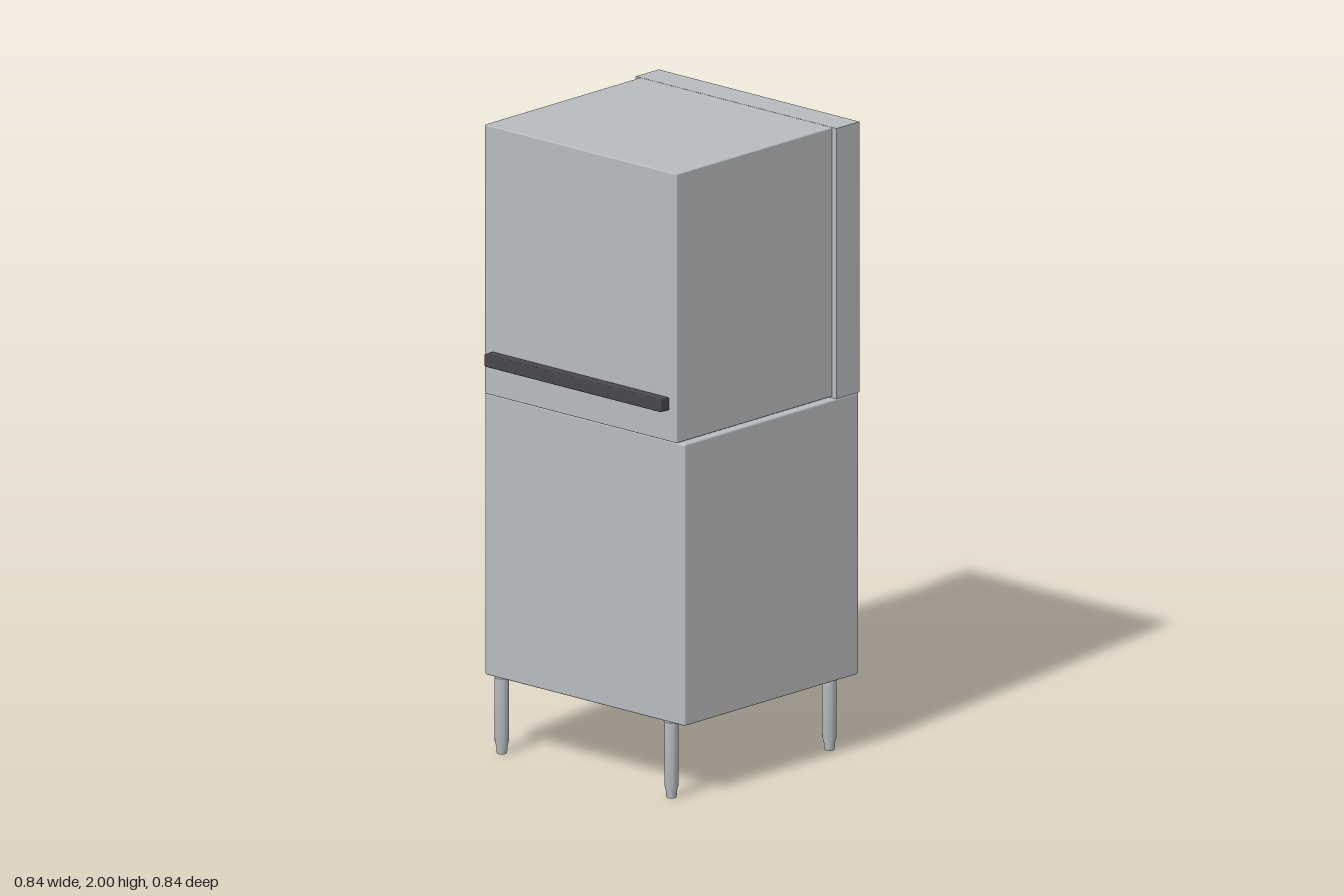
import * as THREE from 'three';
import { RoundedBoxGeometry } from 'three/addons/geometries/RoundedBoxGeometry.js';
import { toCreasedNormals } from 'three/addons/utils/BufferGeometryUtils.js';

const steel = new THREE.MeshStandardMaterial({ name: 'steel', color: 0xb8bcbe });
const darkGrip = new THREE.MeshStandardMaterial({ name: 'darkGrip', color: 0x48484c });

// Box given by its limits on each axis, with an optional edge radius
function box(name, material, [x0, x1], [y0, y1], [z0, z1], radius = 0) {
  const size = [x1 - x0, y1 - y0, z1 - z0];
  const geometry = radius
    ? new RoundedBoxGeometry(...size, 2, radius)
    : new THREE.BoxGeometry(...size);
  const mesh = new THREE.Mesh(geometry, material);
  mesh.name = name;
  mesh.position.set((x0 + x1) / 2, (y0 + y1) / 2, (z0 + z1) / 2);
  return mesh;
}

export function createModel() {
  const model = new THREE.Group();
  model.name = 'hoodDishwasher';

  // Lower cabinet, rear column and lifting hood
  model.add(box('baseCabinet', steel, [-0.418, 0.418], [0.24, 1.138], [-0.418, 0.365], 0.006));
  model.add(box('rearColumn', steel, [-0.419, 0.419], [1.138, 2], [-0.419, -0.316]));
  model.add(box('hood', steel, [-0.401, 0.401], [1.142, 2], [-0.318, 0.383], 0.004));

  // Full-width bar handle
  model.add(box('handle', darkGrip, [-0.369, 0.369], [1.242, 1.282], [0.38, 0.419], 0.003));

  // Four round legs with tapered feet
  const profile = [[0, 0], [0.015, 0], [0.017, 0.008], [0.017, 0.022], [0.022, 0.04], [0.022, 0.242], [0, 0.242]]
    .map(([r, y]) => new THREE.Vector2(r, y));
  const legGeometry = toCreasedNormals(new THREE.LatheGeometry(profile, 20), 0.5);
  for (const x of [-0.354, 0.354]) {
    for (const z of [-0.354, 0.356]) {
      const leg = new THREE.Mesh(legGeometry, steel);
      leg.name = (z > 0 ? 'front' : 'back') + (x > 0 ? 'Left' : 'Right') + 'Leg';
      leg.position.set(x, 0, z);
      model.add(leg);
    }
  }
  return model;
}
